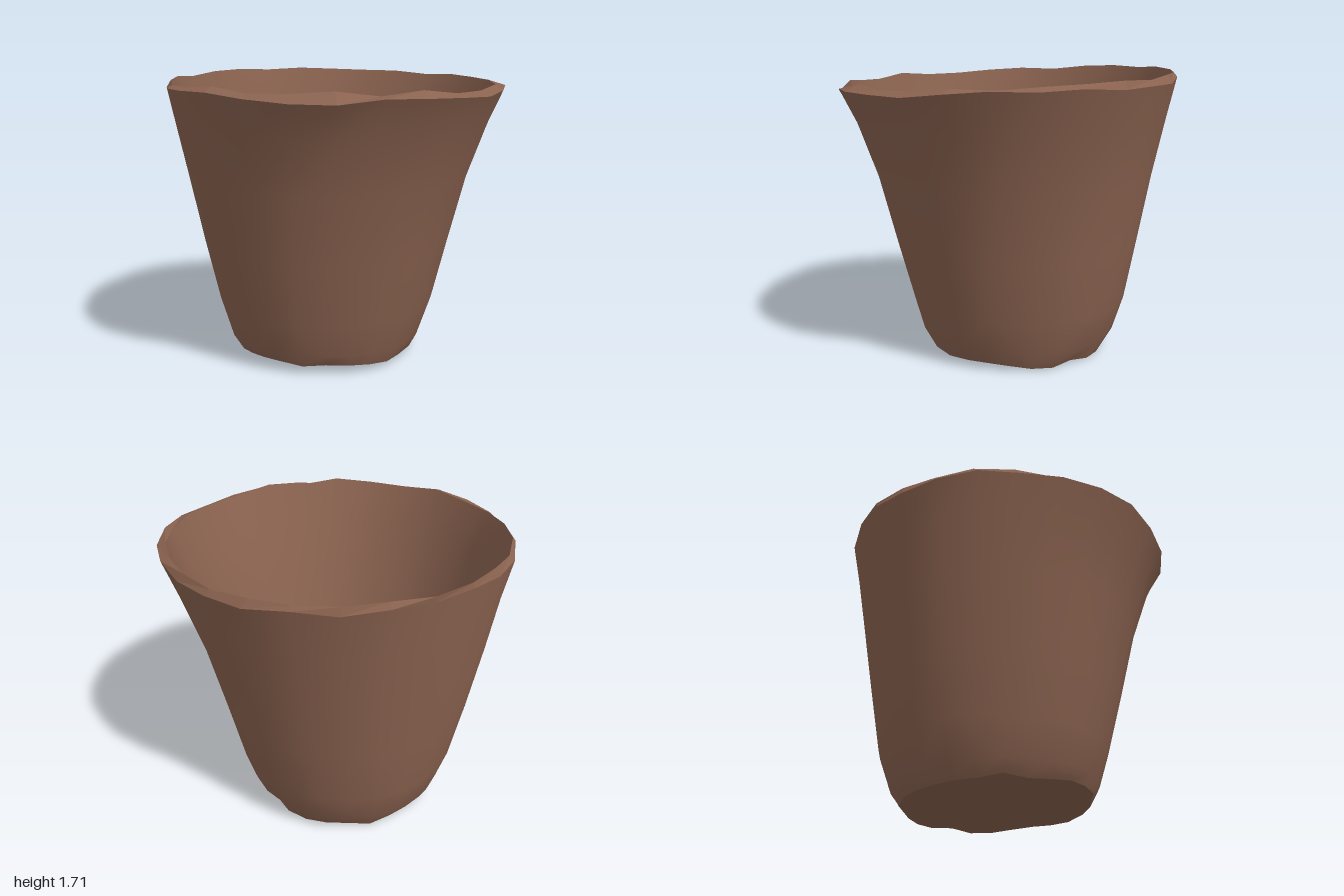
import * as THREE from 'three';

const SEG = 26;

// small seeded noise in -1..1
function makeNoise(seed) {
  let s = seed;
  return () => {
    s = (s * 16807) % 2147483647;
    return (s / 2147483647) * 2 - 1;
  };
}

// one hand-shaped ring: height, front-to-back tilt, centre, radii, roughness
function makeRing(noise, { y, tilt = 0, cx = 0, cz = 0, rx, rz, rough = 0, bump = 0 }) {
  const ring = [];
  for (let i = 0; i < SEG; i++) {
    const a = (i / SEG) * Math.PI * 2;
    const k = 1 + noise() * rough;
    const sx = Math.sin(a), cz1 = Math.cos(a);
    ring.push([cx + sx * rx * k, y + tilt * cz1 - sx * bump * 0.5 + noise() * bump, cz + cz1 * rz * k]);
  }
  return ring;
}

// skin a list of rings, outward when they run upward on the outside
function skin(rings) {
  const pos = rings.flat(2), index = [];
  for (let r = 0; r < rings.length - 1; r++) {
    for (let i = 0; i < SEG; i++) {
      const j = (i + 1) % SEG;
      const a = r * SEG + i, b = r * SEG + j, c = a + SEG, d = b + SEG;
      index.push(a, b, d, a, d, c);
    }
  }
  const g = new THREE.BufferGeometry();
  g.setAttribute('position', new THREE.Float32BufferAttribute(pos, 3));
  g.setIndex(index);
  g.computeVertexNormals();
  return g;
}

// close a ring with a fan around a centre point
function cap(ring, centre, up) {
  const pos = [...ring.flat(), ...centre], index = [];
  for (let i = 0; i < SEG; i++) {
    const j = (i + 1) % SEG;
    if (up) index.push(i, j, SEG);
    else index.push(j, i, SEG);
  }
  const g = new THREE.BufferGeometry();
  g.setAttribute('position', new THREE.Float32BufferAttribute(pos, 3));
  g.setIndex(index);
  g.computeVertexNormals();
  return g;
}

export function createModel() {
  const clay = new THREE.MeshStandardMaterial({ color: 0x8b6350, side: THREE.DoubleSide });
  clay.name = 'brown clay';
  const noise = makeNoise(4711);
  const ring = (o) => makeRing(noise, o);

  // outer rings from the chipped foot to the lip
  const outer = [
    ring({ y: 0.04, tilt: 0.022, cx: -0.06, cz: -0.06, rx: 0.54, rz: 0.54, rough: 0.03, bump: 0.014 }),
    ring({ y: 0.13, tilt: 0.01, cx: -0.06, cz: -0.07, rx: 0.595, rz: 0.595, rough: 0.012 }),
    ring({ y: 0.33, cx: -0.06, cz: -0.08, rx: 0.66, rz: 0.66, rough: 0.005 }),
    ring({ y: 0.7, cx: -0.055, cz: -0.065, rx: 0.745, rz: 0.74 }),
    ring({ y: 1.1, cx: -0.045, cz: -0.05, rx: 0.835, rz: 0.825 }),
    ring({ y: 1.42, cx: -0.02, cz: -0.025, rx: 0.92, rz: 0.91, rough: 0.003 }),
    ring({ y: 1.64, tilt: -0.035, rx: 0.99, rz: 0.985, rough: 0.009, bump: 0.018 }),
  ];

  // inner rings from the lip down to the floor
  const inner = [
    ring({ y: 1.672, tilt: -0.035, cx: -0.01, cz: -0.03, rx: 0.95, rz: 0.945, rough: 0.008, bump: 0.014 }),
    ring({ y: 1.42, cx: -0.02, cz: -0.025, rx: 0.87, rz: 0.865 }),
    ring({ y: 1.1, cx: -0.045, cz: -0.05, rx: 0.785, rz: 0.78 }),
    ring({ y: 0.7, cx: -0.055, cz: -0.06, rx: 0.695, rz: 0.69 }),
    ring({ y: 0.33, cx: -0.055, cz: -0.07, rx: 0.605, rz: 0.6, rough: 0.005 }),
    ring({ y: 0.19, cx: -0.05, cz: -0.05, rx: 0.53, rz: 0.51, rough: 0.015 }),
    ring({ y: 0.11, cx: -0.05, cz: 0, rx: 0.465, rz: 0.41, rough: 0.03, bump: 0.01 }),
  ];

  const group = new THREE.Group();
  group.name = 'clayPot';
  const add = (name, geometry) => {
    const mesh = new THREE.Mesh(geometry, clay);
    mesh.name = name;
    group.add(mesh);
  };

  add('outerWall', skin(outer));
  add('innerWall', skin(inner));

  // faceted lip, floor and underside
  const lip = skin([outer[outer.length - 1], inner[0]]).toNonIndexed();
  lip.computeVertexNormals();
  add('lip', lip);
  add('innerFloor', cap(inner[inner.length - 1], [-0.08, 0.1, -0.02], true));
  add('underside', cap(outer[0], [-0.06, 0.035, -0.06], false));

  // settle on the ground
  const box = new THREE.Box3().setFromObject(group);
  group.children.forEach((m) => m.geometry.translate(
    -(box.min.x + box.max.x) / 2, -box.min.y, -(box.min.z + box.max.z) / 2));
  return group;
}
